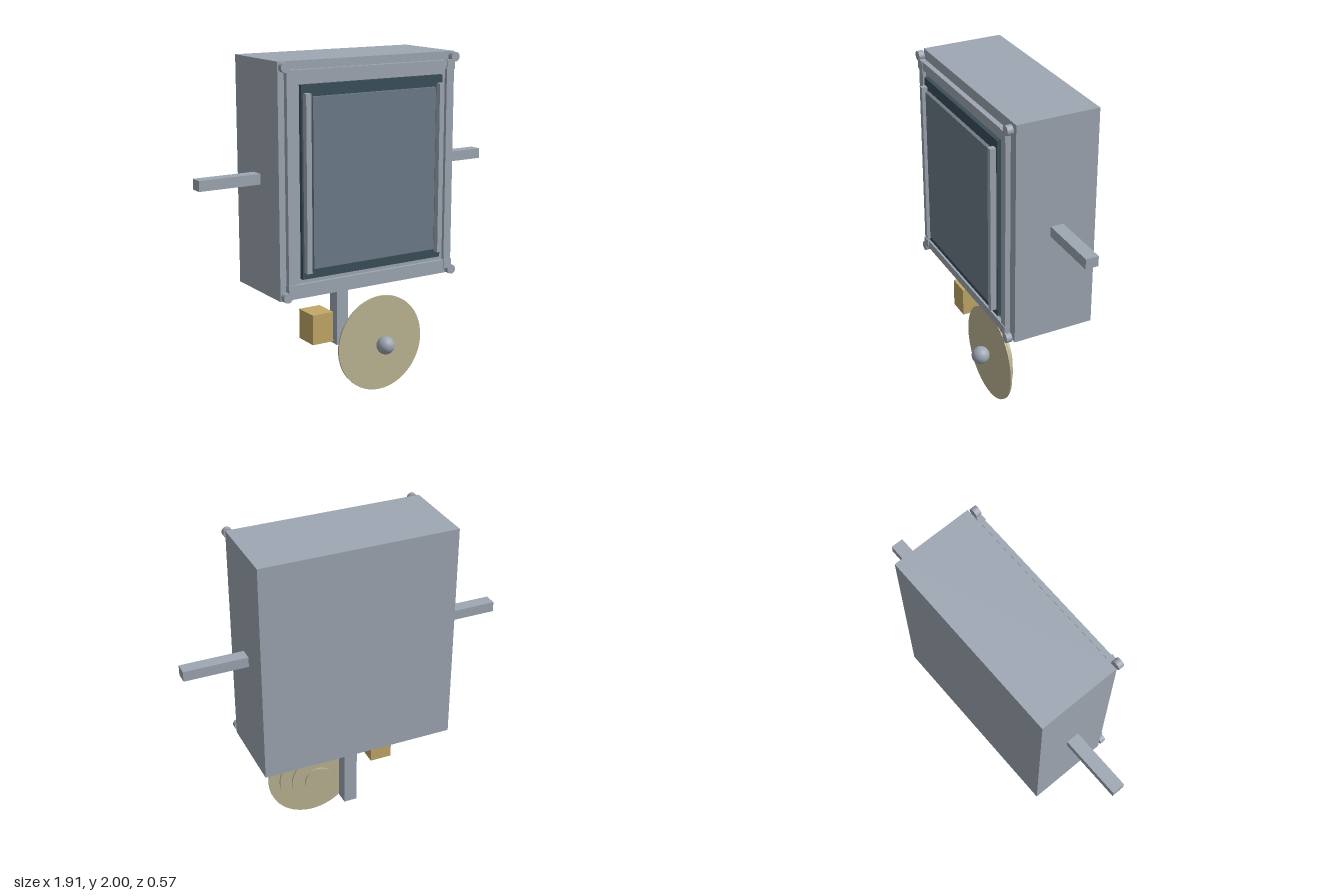
import * as THREE from 'three';

const paint = (name, color) => {
  const m = new THREE.MeshStandardMaterial({ color });
  m.name = name;
  return m;
};

export function createModel() {
  const model = new THREE.Group();
  model.name = 'satellite';
  const metal = paint('blue grey metal', 0x9ea7b3);
  const dark = paint('dark slate', 0x3a4e59);
  const slate = paint('slate panel', 0x6c7b87);
  const gold = paint('gold', 0xc2a968);
  const khaki = paint('pale khaki', 0xbcb593);

  const add = (name, geometry, material, x = 0, y = 0, z = 0) => {
    const mesh = new THREE.Mesh(geometry, material);
    mesh.name = name;
    mesh.position.set(x, y, z);
    model.add(mesh);
    return mesh;
  };
  // Box given by its limits on each axis
  const box = (name, material, [x0, x1], [y0, y1], [z0, z1]) =>
    add(name, new THREE.BoxGeometry(x1 - x0, y1 - y0, z1 - z0), material,
      (x0 + x1) / 2, (y0 + y1) / 2, (z0 + z1) / 2);
  // Rectangular ring, centred on the body front
  const midY = 1.34;
  const ring = (name, outX, outY, inX, inY, z0, z1) => {
    const rect = (Type, x, y) => new Type([[-x, -y], [x, -y], [x, y], [-x, y]]
      .map(p => new THREE.Vector2(...p)));
    const shape = rect(THREE.Shape, outX, outY);
    shape.holes.push(rect(THREE.Path, inX, inY));
    add(name, new THREE.ExtrudeGeometry(shape, { depth: z1 - z0, bevelEnabled: false }),
      metal, 0, midY, z0);
  };

  // Main body and its front
  box('body', metal, [-0.58, 0.58], [0.68, 2], [-0.285, 0.2]);
  ring('innerFrame', 0.5, 0.565, 0.46, 0.53, 0.2, 0.225);
  ring('raisedFrame', 0.55, 0.615, 0.5, 0.565, 0.215, 0.245);
  box('darkPlate', dark, [-0.465, 0.465], [0.802, 1.875], [0.2, 0.25]);
  box('frontPanel', slate, [-0.405, 0.405], [0.86, 1.81], [0.25, 0.272]);

  for (const s of [-1, 1]) {
    const side = (a, b) => (s > 0 ? [a, b] : [-b, -a]);
    box('panelRail', metal, side(0.423, 0.455), [0.84, 1.83], [0.25, 0.285]);
    box('sideArm', metal, side(0.57, 0.953), [1.305, 1.365], [-0.086, -0.01]);
    // Corner knobs with small brackets
    for (const t of [-1, 1]) {
      const knob = add('cornerKnob', new THREE.CylinderGeometry(0.028, 0.028, 0.034, 20),
        metal, s * 0.557, midY + t * 0.631, 0.233);
      knob.rotation.x = Math.PI / 2;
      add('cornerBracket', new THREE.BoxGeometry(0.055, 0.055, 0.034), metal,
        s * 0.525, midY + t * 0.59, 0.233);
    }
  }

  // Mast and instrument box under the body
  box('mast', metal, [-0.04, 0.04], [0.245, 0.69], [-0.165, -0.085]);
  box('instrumentBox', gold, [-0.345, -0.21], [0.37, 0.547], [-0.005, 0.15]);

  // Dish made of stacked discs, with a ball feed in front
  for (const [radius, z] of [[0.29, 0.134], [0.23, 0.099], [0.162, 0.066], [0.087, 0.038]]) {
    const disc = add('dishDisc', new THREE.CylinderGeometry(radius, radius, 0.01, 64),
      khaki, 0.125, 0.295, z);
    disc.rotation.x = Math.PI / 2;
  }
  add('dishFeed', new THREE.SphereGeometry(0.054, 32, 20), metal, 0.125, 0.295, 0.194);

  return model;
}
